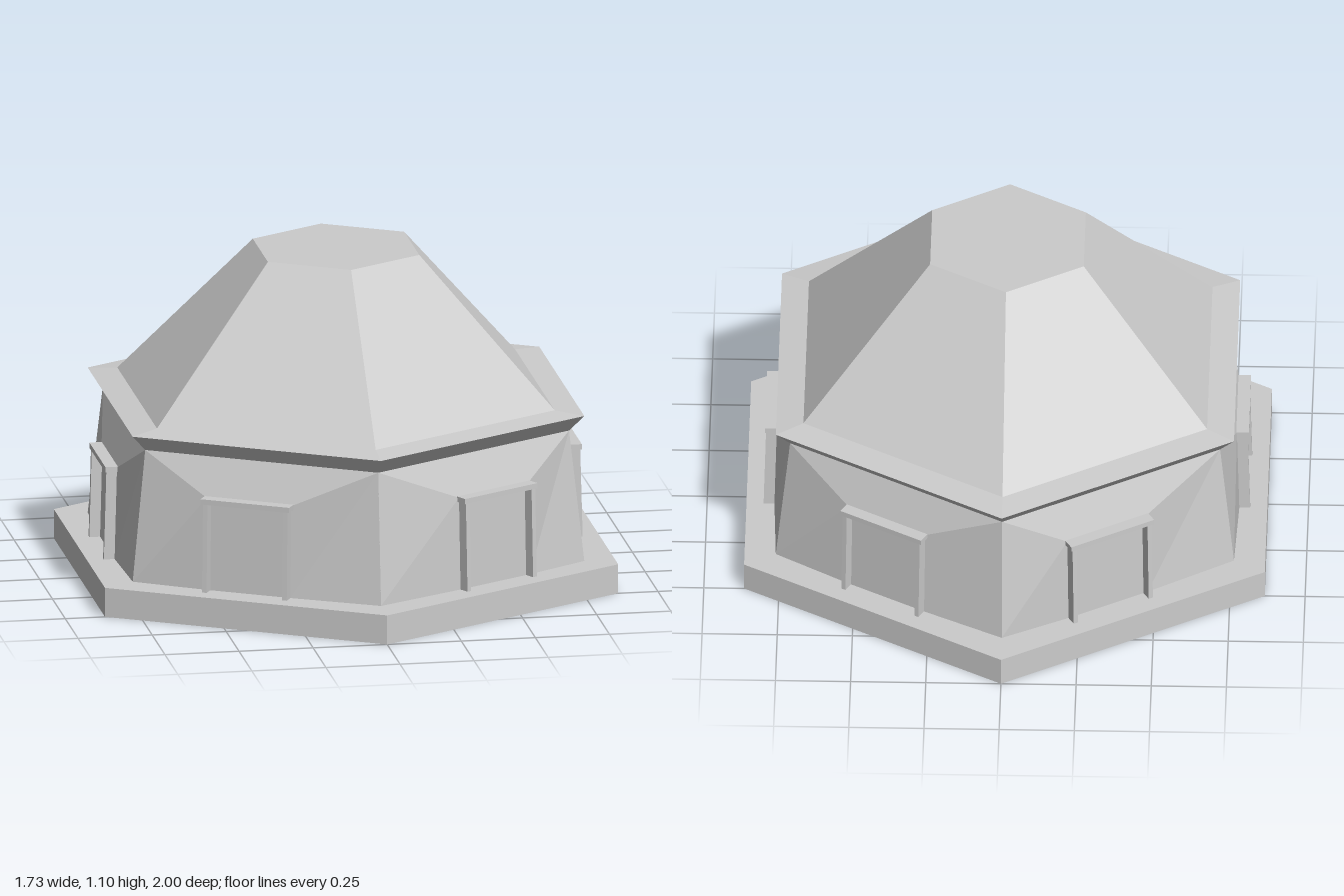
import * as THREE from 'three';

const material = new THREE.MeshStandardMaterial({ color: 0xcccccc, flatShading: true });

function part(name, geometry, parent) {
  const mesh = new THREE.Mesh(geometry, material);
  mesh.name = name;
  parent.add(mesh);
  return mesh;
}

// Six-sided ring between two heights, with corners on the z axis
function hexagon(name, rTop, rBottom, yBottom, yTop, open, parent) {
  const geometry = new THREE.CylinderGeometry(rTop, rBottom, yTop - yBottom, 6, 1, open);
  part(name, geometry, parent).position.y = (yBottom + yTop) / 2;
}

function quads(list) {
  const points = list.flatMap(([a, b, c, d]) => [...a, ...b, ...c, ...a, ...c, ...d]);
  const geometry = new THREE.BufferGeometry();
  geometry.setAttribute('position', new THREE.Float32BufferAttribute(points, 3));
  geometry.computeVertexNormals();
  return geometry;
}

// One wall facing +z, pushed out around a door set off-centre by shift
function wallSide(shift) {
  const side = new THREE.Group();
  side.name = 'wallSide';
  const half = 0.15;
  const bl = [-0.44, 0.1, 0.762], br = [0.44, 0.1, 0.762];
  const tl = [-0.413, 0.545, 0.715], tr = [0.413, 0.545, 0.715];
  const dbl = [shift - half, 0.1, 0.773], dbr = [shift + half, 0.1, 0.773];
  const dtl = [shift - half, 0.415, 0.765], dtr = [shift + half, 0.415, 0.765];
  part('wall', quads([
    [bl, dbl, dtl, tl],
    [dbr, br, tr, dtr],
    [dtl, dtr, tr, tl],
  ]), side);
  part('doorPanel', quads([[dbl, dbr, dtr, dtl]]), side);

  // Door frame, leaning in slightly with the wall
  for (const s of [-1, 1]) {
    const post = part('doorPost', new THREE.BoxGeometry(0.016, 0.31, 0.038), side);
    post.position.set(shift + s * 0.142, 0.252, 0.786);
    post.rotation.x = -0.027;
  }
  const lintel = part('doorLintel', new THREE.BoxGeometry(0.314, 0.018, 0.044), side);
  lintel.position.set(shift, 0.411, 0.783);
  return side;
}

export function createModel() {
  const model = new THREE.Group();
  model.name = 'hexagonalHouse';

  hexagon('base', 1, 1, 0, 0.1, false, model);

  // Walls, counter-clockwise from the front
  [0.045, 0.015, -0.006, -0.043, 0, -0.027].forEach((shift, i) => {
    const side = wallSide(shift);
    side.rotation.y = Math.PI / 6 + i * Math.PI / 3;
    model.add(side);
  });

  // Eaves and truncated roof
  hexagon('eaves', 0.88, 0.826, 0.545, 0.6, true, model);
  hexagon('eavesTop', 0.775, 0.88, 0.6, 0.61, true, model);
  hexagon('roof', 0.295, 0.775, 0.61, 1.1, false, model);

  return model;
}
